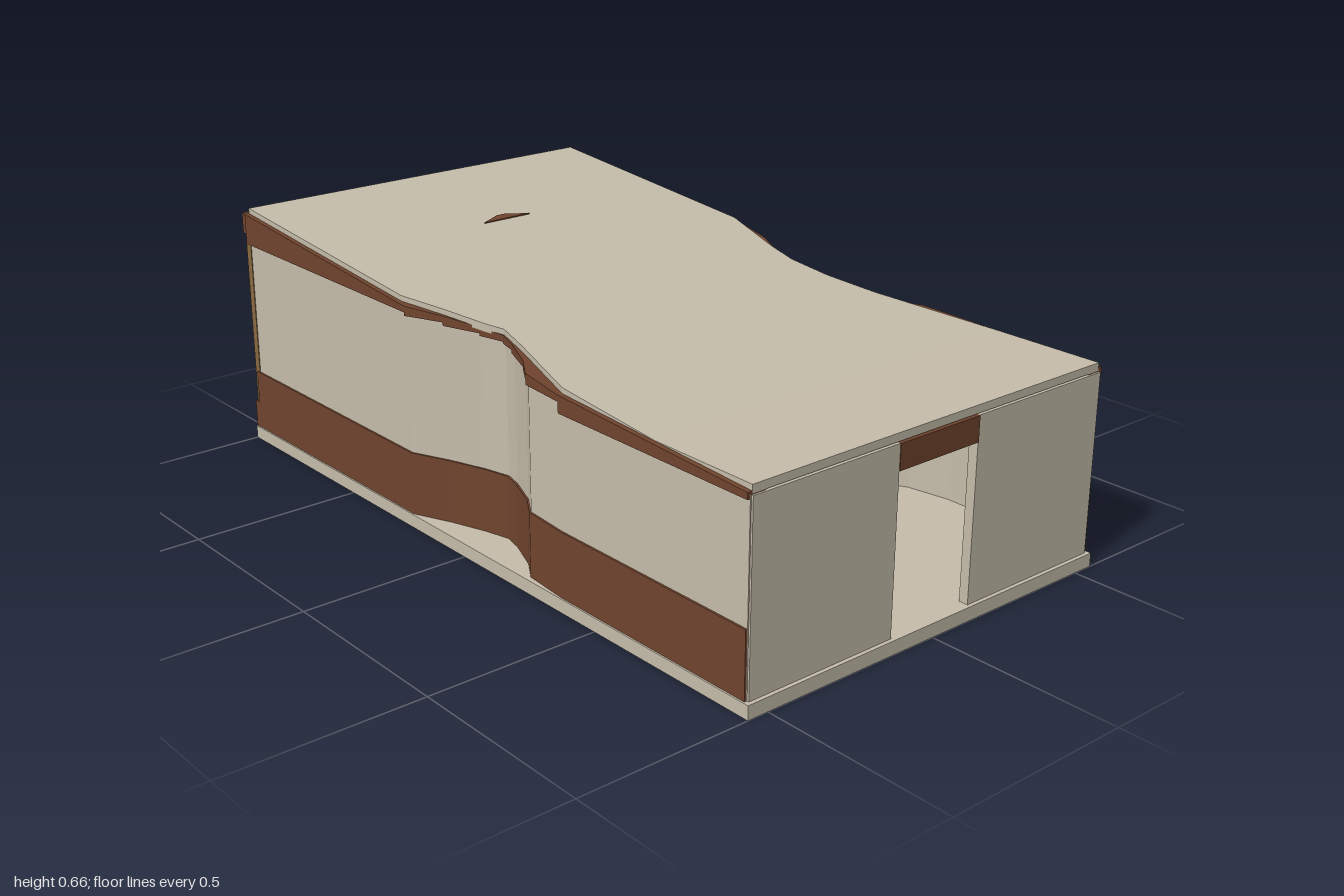
import * as THREE from 'three';

const mat = (name, color) => {
  const m = new THREE.MeshStandardMaterial({ color });
  m.name = name;
  return m;
};

export function createModel() {
  const group = new THREE.Group();
  const plaster = mat('plaster', 0xc6bdab);
  const timber = mat('brownTimber', 0x70442e);
  const glass = mat('tealGlass', 0x50747a);
  const frame = mat('ochreFrame', 0x8a6a40);

  const add = (name, geometry, material) => {
    const mesh = new THREE.Mesh(geometry, material);
    mesh.name = name;
    group.add(mesh);
  };
  // Box given by its limits
  const box = (name, material, x0, x1, y0, y1, z0, z1) => {
    const g = new THREE.BoxGeometry(x1 - x0, y1 - y0, z1 - z0);
    g.translate((x0 + x1) / 2, (y0 + y1) / 2, (z0 + z1) / 2);
    add(name, g, material);
  };

  // Height of the roof surface: level at the front, rising to the back
  const roofY = z => 0.515 + Math.max(0, 0.69 - z) * 0.145 / 1.67;

  // Plate with an x/z outline that follows the roof slope
  const roofPlate = (name, material, outline, thick, lift) => {
    const shape = new THREE.Shape(outline.map(([x, z]) => new THREE.Vector2(x, -z)));
    const g = new THREE.ExtrudeGeometry(shape, { depth: thick, bevelEnabled: false });
    g.rotateX(-Math.PI / 2);
    const p = g.attributes.position;
    for (let i = 0; i < p.count; i++) p.setY(i, p.getY(i) - thick + lift + roofY(p.getZ(i)));
    g.computeVertexNormals();
    add(name, g, material);
  };

  // Wall band along a path of [x, z]; bottom and top take (z, z of segment's front end)
  const band = (name, material, path, side, out, thick, bottom, top) => {
    const pos = [];
    const quad = (a, b, c, d) => {
      const q = side > 0 ? [a, b, c, a, c, d] : [a, c, b, a, d, c];
      q.forEach(v => pos.push(...v));
    };
    for (let i = 0; i < path.length - 1; i++) {
      const ring = path.slice(i, i + 2).map(([x, z]) => {
        const xo = side * (x + out), xi = side * (x + out - thick);
        const lo = bottom(z, path[i][1]), hi = top(z, path[i][1]);
        return [[xo, lo, z], [xo, hi, z], [xi, hi, z], [xi, lo, z]];
      });
      const [f, b] = ring;
      for (let k = 0; k < 4; k++) {
        const n = (k + 1) % 4;
        quad(f[k], b[k], b[n], f[n]);
      }
      quad(f[0], f[1], f[2], f[3]);
      quad(b[3], b[2], b[1], b[0]);
    }
    const g = new THREE.BufferGeometry();
    g.setAttribute('position', new THREE.Float32BufferAttribute(pos, 3));
    g.computeVertexNormals();
    add(name, g, material);
  };

  // Floor slab
  box('floorSlab', plaster, -0.556, 0.556, 0, 0.035, -1, 1);

  // Waisted side walls: plaster, timber skirting and stepped timber fascia
  const walls = [
    ['left', 1, [[0.548, 0.985], [0.548, 0.57], [0.528, 0.455], [0.468, 0.345], [0.449, 0.2],
      [0.445, 0.07], [0.47, 0], [0.525, -0.12], [0.548, -0.235], [0.548, -0.98]]],
    ['right', -1, [[0.548, 0.985], [0.548, 0.38], [0.538, 0.25], [0.5, 0.19], [0.465, 0.1],
      [0.453, 0.05], [0.47, -0.02], [0.505, -0.12], [0.548, -0.22], [0.548, -0.98]]],
  ];
  for (const [label, side, path] of walls) {
    band(label + 'Wall', plaster, path, side, 0, 0.015, () => 0.035, z => roofY(z) - 0.022);
    band(label + 'Skirting', timber, path, side, 0.005, 0.012, () => 0.036, () => 0.2);
    band(label + 'Fascia', timber, path, side, 0.008, 0.05,
      (z, front) => roofY(front) - 0.03, z => roofY(z) - 0.014);
  }

  // Roof in two planes, cut in at the waist
  roofPlate('frontRoof', plaster, [[-0.543, 0.985], [0.543, 0.985], [0.543, 0.69], [-0.543, 0.69]], 0.02, 0);
  roofPlate('slopingRoof', plaster, [
    [-0.543, 0.69], [0.543, 0.69], [0.468, 0.35], [0.45, 0.2], [0.452, 0.07], [0.475, -0.03], [0.543, -0.25],
    [0.543, -0.98], [-0.543, -0.98], [-0.543, -0.25], [-0.505, -0.12], [-0.475, 0], [-0.457, 0.05],
    [-0.48, 0.15], [-0.543, 0.38],
  ], 0.02, 0);
  roofPlate('roofRidgeTip', timber, [[-0.075, -0.56], [0.075, -0.56], [0.012, -0.59], [-0.012, -0.59]], 0.006, 0.003);

  // Front wall with doorway
  for (const s of [-1, 1]) {
    box('frontWall', plaster, s < 0 ? -0.545 : 0.125, s < 0 ? -0.125 : 0.545, 0.035, 0.493, 0.965, 0.99);
  }
  box('doorLintel', timber, -0.125, 0.125, 0.43, 0.493, 0.965, 0.992);
  box('openDoor', plaster, -0.125, -0.1, 0.035, 0.43, 0.73, 0.965);

  // Inner room seen through the doorway
  box('innerRoom', plaster, -0.09, 0.05, 0.035, 0.41, -0.25, 0.45);
  box('innerRoomCap', timber, -0.1, 0.05, 0.41, 0.42, -0.25, 0.46);

  // Glazed back with sill, header and posts
  box('backSill', timber, -0.553, 0.553, 0.035, 0.11, -1, -0.975);
  box('backHeader', timber, -0.553, 0.553, 0.59, 0.645, -1, -0.972);
  box('backWindow', glass, -0.545, 0.545, 0.11, 0.6, -0.982, -0.974);
  for (const x of [-0.54, 0, 0.54]) {
    box('windowPost', frame, x - 0.01, x + 0.01, 0.11, 0.59, -0.992, -0.97);
  }
  return group;
}
